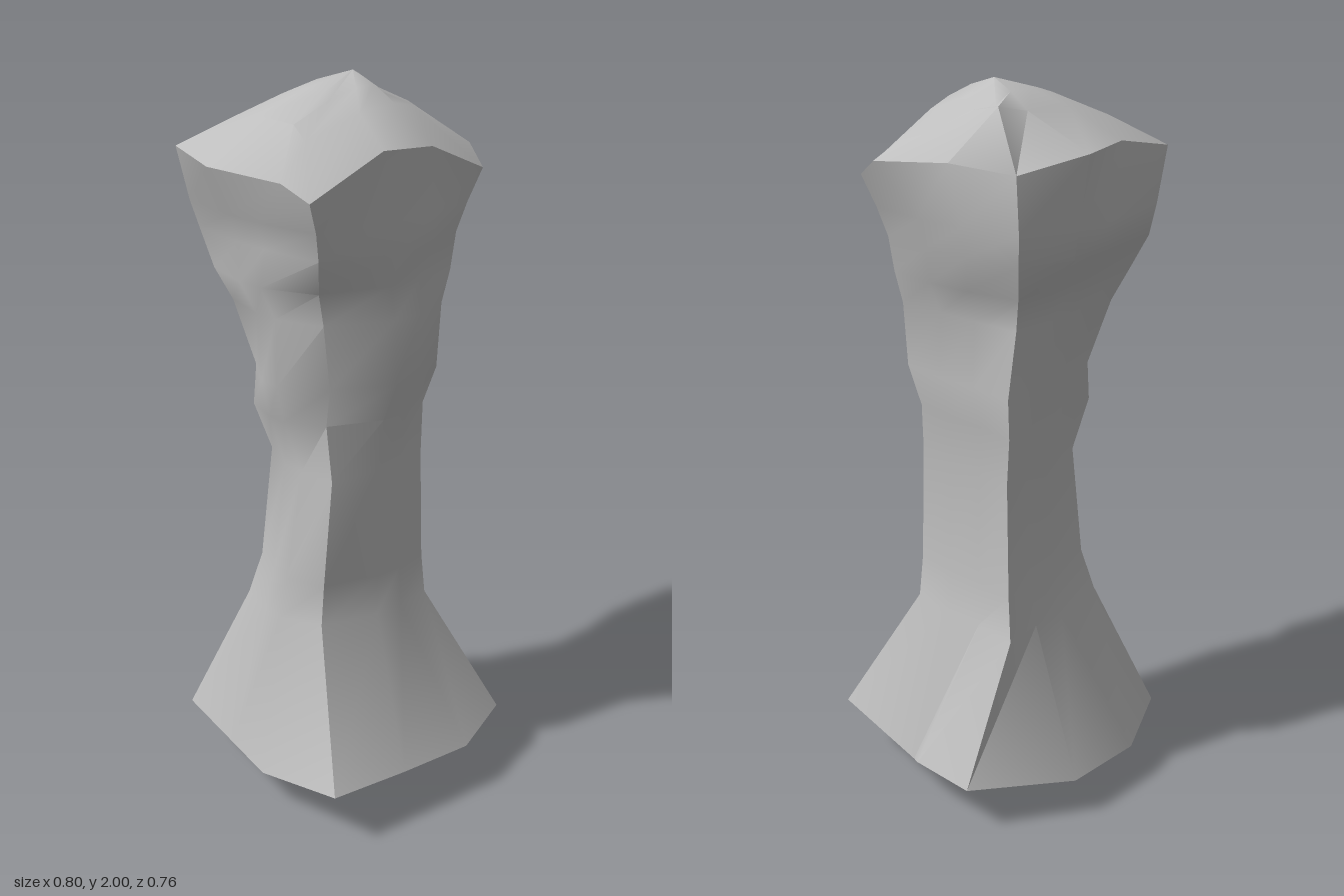
import * as THREE from 'three';
import { toCreasedNormals } from 'three/addons/utils/BufferGeometryUtils.js';

// Every ring has 12 points: front-left corner, two front points, front-right corner, and so on round.

// Shaft ring: four free corners (x, z), each side passing through its own bulge.
function shaftRing([y, flx, flz, frx, frz, brx, brz, blx, blz, left, right, back, front]) {
  const mix = (a, b, t) => a + (b - a) * t;
  return [
    [flx, y, flz], [mix(flx, frx, 0.4), y, front], [mix(flx, frx, 0.62), y, front],
    [frx, y, frz], [right, y, mix(frz, brz, 0.45)], [right, y, mix(frz, brz, 0.7)],
    [brx, y, brz], [mix(brx, blx, 0.35), y, back], [mix(brx, blx, 0.65), y, back],
    [blx, y, blz], [left, y, mix(blz, flz, 0.3)], [left, y, mix(blz, flz, 0.55)],
  ];
}

// Skin a stack of rings; optionally close with a fan to a point above or below.
function skin(rings, topPoint, bottomPoint) {
  const out = [];
  const tri = (a, b, c) => out.push(...a, ...b, ...c);
  const n = 12;
  for (let i = 0; i < n; i++) {
    const j = (i + 1) % n;
    for (let k = 0; k + 1 < rings.length; k++) {
      const lo = rings[k], hi = rings[k + 1];
      tri(lo[i], lo[j], hi[j]);
      tri(lo[i], hi[j], hi[i]);
    }
    const top = rings[rings.length - 1], bottom = rings[0];
    if (topPoint) tri(topPoint, top[i], top[j]);
    if (bottomPoint) tri(bottomPoint, bottom[j], bottom[i]);
  }
  const g = new THREE.BufferGeometry();
  g.setAttribute('position', new THREE.Float32BufferAttribute(out, 3));
  return toCreasedNormals(g, 0.75);
}

export function createModel() {
  const group = new THREE.Group();
  const stone = new THREE.MeshStandardMaterial({ color: 0xbebebe });
  stone.name = 'grey stone';

  // Flared foot rim, chipped at the back
  const footRim = [
    [-0.315, 0.15, 0.335], [-0.1, 0.115, 0.355], [0.07, 0.1, 0.38],
    [0.365, 0.155, 0.37], [0.385, 0.145, 0.13], [0.4, 0.14, -0.1],
    [0.33, 0.165, -0.3], [0.05, 0.08, -0.305], [-0.03, 0.13, -0.37],
    [-0.235, 0.13, -0.385], [-0.4, 0.11, -0.12], [-0.4, 0.11, 0.13],
  ];

  // Shaft: y, corners front-left, front-right, back-right, back-left, bulges left, right, back, front
  const shaft = [
    [0.52, -0.185, 0.21, 0.12, 0.2, 0.155, -0.165, -0.245, -0.22, -0.225, 0.17, -0.195, 0.25],
    [0.64, -0.16, 0.18, 0.125, 0.195, 0.15, -0.155, -0.22, -0.2, -0.2, 0.17, -0.18, 0.235],
    [0.96, -0.15, 0.145, 0.16, 0.195, 0.16, -0.135, -0.2, -0.185, -0.18, 0.18, -0.16, 0.2],
    [1.1, -0.165, 0.195, 0.11, 0.17, 0.14, -0.16, -0.23, -0.21, -0.2, 0.175, -0.185, 0.23],
    [1.21, -0.17, 0.18, 0.13, 0.175, 0.18, -0.17, -0.23, -0.215, -0.205, 0.22, -0.195, 0.26],
    [1.39, -0.22, 0.215, 0.135, 0.2, 0.18, -0.185, -0.235, -0.19, -0.235, 0.22, -0.19, 0.25],
    [1.48, -0.255, 0.25, 0.14, 0.22, 0.19, -0.205, -0.255, -0.205, -0.25, 0.205, -0.23, 0.29],
    [1.58, -0.315, 0.25, 0.18, 0.255, 0.185, -0.23, -0.295, -0.25, -0.35, 0.25, -0.26, 0.275],
    [1.66, -0.315, 0.28, 0.2, 0.28, 0.2, -0.255, -0.305, -0.26, -0.36, 0.235, -0.28, 0.31],
  ].map(shaftRing);

  // Widest ring of the head, then the edge of its worn top with a spur at the back left
  const headRim = [
    [-0.315, 1.81, 0.32], [-0.125, 1.79, 0.365], [0.12, 1.78, 0.325],
    [0.205, 1.74, 0.305], [0.25, 1.85, 0.1], [0.25, 1.84, -0.07],
    [0.22, 1.75, -0.29], [0.135, 1.8, -0.325], [-0.1, 1.82, -0.295],
    [-0.3, 1.81, -0.265], [-0.385, 1.85, -0.09], [-0.325, 1.85, 0.11],
  ];
  const topEdge = [
    [-0.2, 1.89, 0.21], [-0.1, 1.905, 0.215], [0.06, 1.905, 0.23],
    [0.11, 1.87, 0.235], [0.14, 1.925, 0.08], [0.13, 1.935, -0.05],
    [0.1, 1.915, -0.15], [0.06, 1.92, -0.165], [-0.08, 1.935, -0.19],
    [-0.2, 1.96, -0.22], [-0.19, 1.935, -0.1], [-0.2, 1.93, 0.05],
  ];
  // Domed inner ring, dipping between the peak and the back edge
  const dome = topEdge.map(([x, y, z]) => [
    -0.04 + (x + 0.04) * 0.5, z < -0.12 ? 1.945 : y + (2 - y) * 0.6, -0.06 + (z + 0.06) * 0.5,
  ]);
  const pillar = new THREE.Mesh(skin([footRim, ...shaft, headRim, topEdge, dome], [-0.04, 2, -0.06]), stone);
  pillar.name = 'pillar';

  // Shallow rounded underside
  const tip = [0.06, 0, 0.13];
  const belly = footRim.map(([x, y, z]) => [
    tip[0] + (x - tip[0]) * 0.55, y * 0.46, tip[2] + (z - tip[2]) * 0.55,
  ]);
  const underside = new THREE.Mesh(skin([belly, footRim], null, tip), stone);
  underside.name = 'underside';

  group.add(pillar, underside);
  return group;
}
